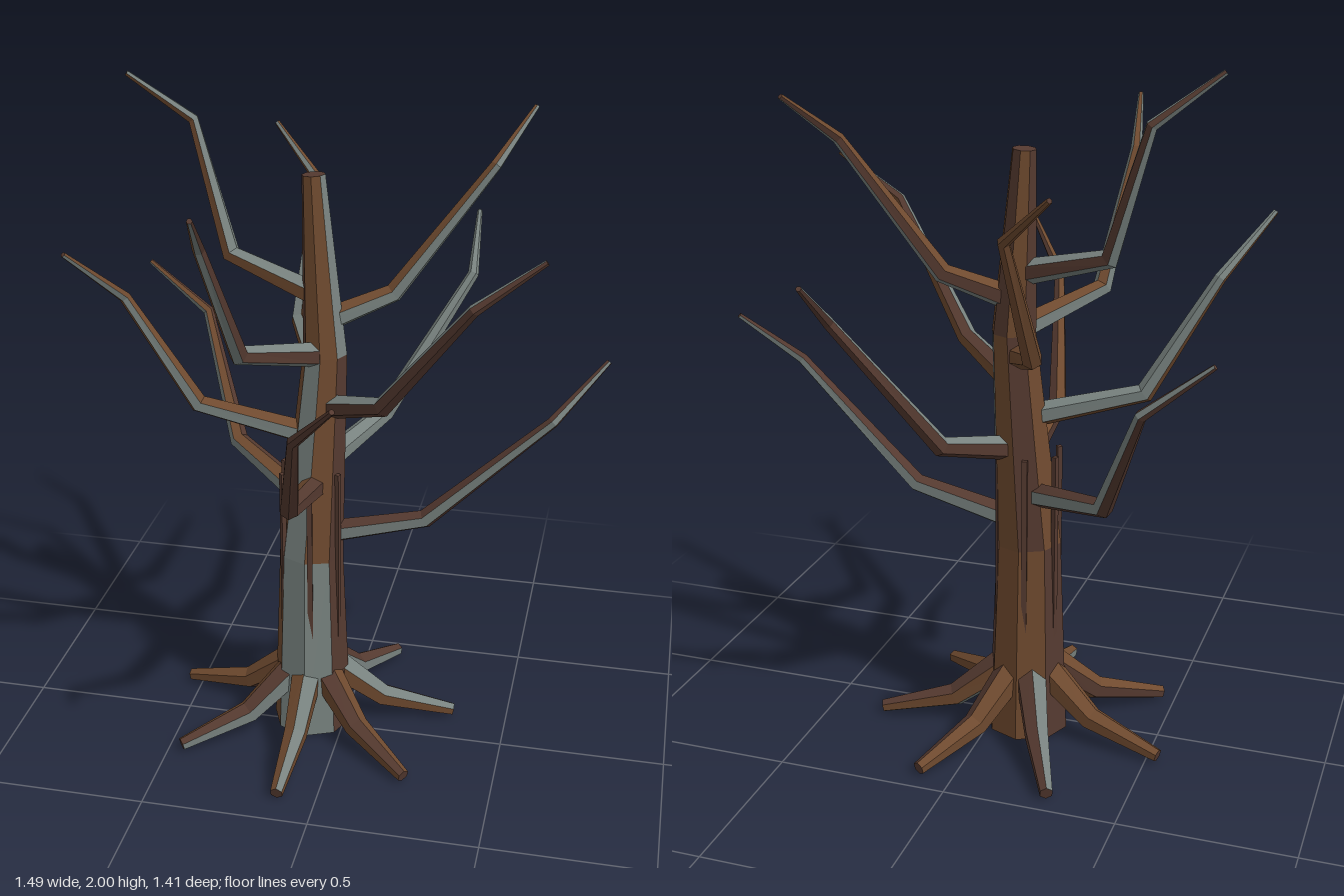
import * as THREE from 'three';

const materials = [0x6f4a2f, 0x553a30, 0x78827f].map(
  (color) => new THREE.MeshStandardMaterial({ color, flatShading: true }));
const BROWN = 0, DARK = 1, GREY = 2;

// small seeded generator for the bark colours
let seed = 7;
const rand = () => (seed = (seed * 16807) % 2147483647) / 2147483647;
const barkSides = (n, grey) => Array.from({ length: n }, () => {
  const r = rand();
  return r < grey ? GREY : r < grey + 0.3 ? DARK : BROWN;
});

// Faceted tapering limb through the points; sideColour(segment, side) picks a material index
function limb(name, points, radii, sides, sideColour, up = new THREE.Vector3(0, 1, 0)) {
  const p = points.map((a) => new THREE.Vector3(...a));
  const last = p.length - 1;
  const dir = (i) => p[i + 1].clone().sub(p[i]).normalize();
  const rings = p.map((c, i) => {
    const t = i === 0 ? dir(0) : i === last ? dir(last - 1) : dir(i - 1).add(dir(i)).normalize();
    const n = up.clone().addScaledVector(t, -up.dot(t)).normalize();
    const b = t.clone().cross(n);
    up = n;
    return Array.from({ length: sides }, (_, k) => {
      const a = (k / sides) * Math.PI * 2;
      const v = c.clone().addScaledVector(n, Math.cos(a) * radii[i])
        .addScaledVector(b, Math.sin(a) * radii[i]);
      v.y = Math.max(0, v.y);
      return v;
    });
  });

  const lists = [[], [], []];
  const tri = (m, ...vs) => vs.forEach((v) => lists[m].push(v.x, v.y, v.z));
  for (let k = 0; k < sides; k++) {
    const k1 = (k + 1) % sides;
    for (let i = 0; i < last; i++) {
      const [p0, p1, q0, q1] = [rings[i][k], rings[i][k1], rings[i + 1][k], rings[i + 1][k1]];
      const m = sideColour(i, k);
      tri(m, p0, p1, q1);
      tri(m, p0, q1, q0);
    }
    tri(DARK, p[0], rings[0][k1], rings[0][k]);
    tri(DARK, p[last], rings[last][k], rings[last][k1]);
  }

  const geo = new THREE.BufferGeometry();
  geo.setAttribute('position', new THREE.Float32BufferAttribute(lists.flat(), 3));
  let start = 0;
  lists.forEach((l, m) => {
    geo.addGroup(start, l.length / 3, m);
    start += l.length / 3;
  });
  geo.computeVertexNormals();
  const mesh = new THREE.Mesh(geo, materials);
  mesh.name = name;
  return mesh;
}

// elbow, fork and tip of each branch, after its start on the trunk
const BRANCHES = [
  [[-0.07, 0.89, -0.06], [0.07, 0.96, -0.3], [0.3, 1.35, -0.51], [0.29, 1.49, -0.7]],
  [[-0.08, 1.33, -0.07], [0.12, 1.41, -0.14], [0.39, 1.78, -0.21], [0.48, 1.91, -0.37]],
  [[-0.08, 0.66, -0.045], [0.24, 0.74, -0.05], [0.6, 1.09, -0.05], [0.74, 1.24, -0.165]],
  [[-0.08, 1.07, -0.06], [0.135, 1.16, 0.1], [0.4, 1.525, 0.25], [0.58, 1.66, 0.225]],
  [[-0.085, 0.83, -0.04], [-0.09, 0.91, 0.29], [-0.01, 1.255, 0.565], [0.12, 1.41, 0.695]],
  [[-0.07, 1.24, -0.05], [-0.25, 1.32, 0.19], [-0.29, 1.69, 0.395], [-0.255, 1.825, 0.575]],
  [[-0.08, 0.98, -0.05], [-0.43, 1.075, 0], [-0.62, 1.41, 0.05], [-0.74, 1.575, 0.19]],
  [[-0.08, 1.41, -0.07], [-0.36, 1.49, -0.15], [-0.48, 1.86, -0.22], [-0.655, 1.995, -0.17]],
  [[-0.1, 0.75, -0.05], [-0.39, 0.83, -0.28], [-0.535, 1.175, -0.48], [-0.72, 1.325, -0.487]],
  [[-0.08, 1.17, -0.07], [-0.195, 1.24, -0.31], [-0.195, 1.61, -0.55], [-0.345, 1.745, -0.66]],
];

export function createModel() {
  const tree = new THREE.Group();
  tree.name = 'bareTree';
  const cx = -0.104, cz = -0.04;

  // trunk in three lengths, colour listed per side starting from the front
  const trunkSides = [
    [GREY, DARK, DARK, BROWN, BROWN, DARK, BROWN, GREY],
    [BROWN, DARK, GREY, BROWN, DARK, BROWN, BROWN, GREY],
    [BROWN, GREY, BROWN, DARK, BROWN, DARK, DARK, BROWN],
  ];
  tree.add(limb('trunk',
    [[cx, 0, cz], [cx, 0.6, cz], [-0.065, 1.24, -0.065], [-0.1, 1.76, -0.088]],
    [0.122, 0.098, 0.065, 0.034], 8, (i, k) => trunkSides[i][k], new THREE.Vector3(0, 0, 1)));

  // bark ridges, just breaking the surface of the trunk
  const ridges = new THREE.Group();
  ridges.name = 'barkRidges';
  for (let i = 0; i < 6; i++) {
    const a = -0.88 + (i * Math.PI) / 3;
    const ridge = new THREE.Mesh(new THREE.BoxGeometry(0.016, 0.63, 0.014), materials[DARK]);
    ridge.name = 'barkRidge';
    ridge.position.set(cx + Math.sin(a) * 0.094, 0.565, cz + Math.cos(a) * 0.094);
    ridge.rotation.y = a;
    ridges.add(ridge);
  }
  tree.add(ridges);

  // seven roots spreading over the ground
  const roots = new THREE.Group();
  roots.name = 'roots';
  for (let i = 0; i < 7; i++) {
    const a = ((i * 360) / 7 - 11.5) * Math.PI / 180;
    const at = (r, y) => [cx + Math.cos(a) * r, y, cz + Math.sin(a) * r];
    const colours = barkSides(6, 0.3);
    roots.add(limb('root', [at(0.06, 0.2), at(0.22, 0.075), at(0.445, 0.02)],
      [0.05, 0.037, 0.02], 6, (s, k) => colours[k]));
  }
  tree.add(roots);

  // bent branches
  const branches = new THREE.Group();
  branches.name = 'branches';
  for (const path of BRANCHES) {
    const colours = barkSides(6, 0.4);
    branches.add(limb('branch', path, [0.038, 0.029, 0.017, 0.008], 6, (s, k) => colours[k]));
  }
  tree.add(branches);
  return tree;
}
